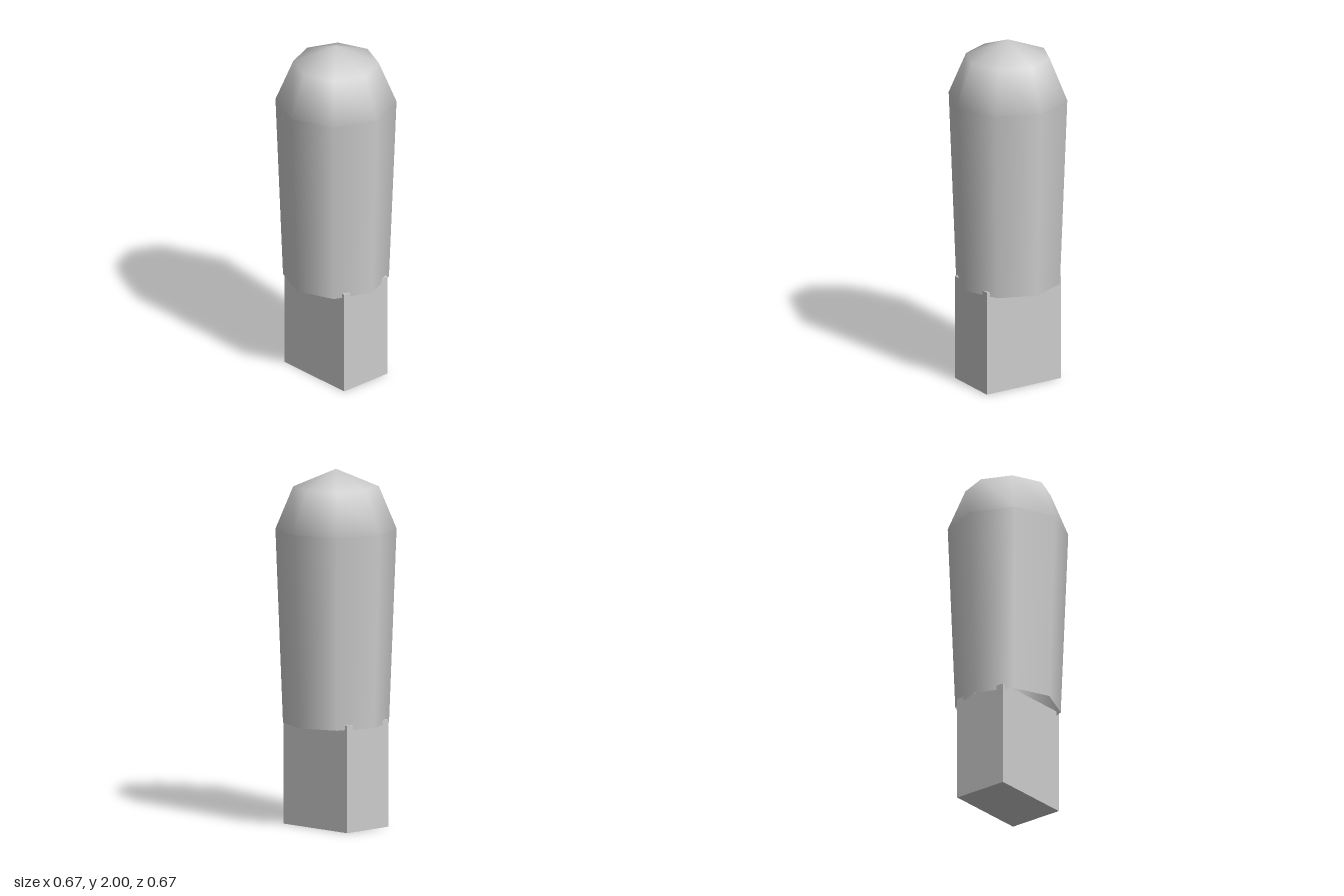
import * as THREE from 'three';

export function createModel() {
  const model = new THREE.Group();
  const grey = new THREE.MeshStandardMaterial({ color: 0xcccccc, side: THREE.DoubleSide });
  grey.name = 'grey';

  const SIDES = 8, TOP_RADIUS = 0.336, BOTTOM_RADIUS = 0.294;
  const BODY_BOTTOM = 0.576, BODY_TOP = 1.664;

  function addPart(name, geometry, y) {
    const mesh = new THREE.Mesh(geometry, grey);
    mesh.name = name;
    mesh.position.y = y;
    model.add(mesh);
  }

  // rectangular plug, its top just inside the open shell
  addPart('plug', new THREE.BoxGeometry(0.492, 0.602, 0.326), 0.301);

  // eight-sided tapered shell, open at the bottom
  addPart('body', new THREE.CylinderGeometry(TOP_RADIUS, BOTTOM_RADIUS, BODY_TOP - BODY_BOTTOM,
    SIDES, 1, true), (BODY_TOP + BODY_BOTTOM) / 2);

  // half-sphere dome with one ring between rim and tip
  addPart('dome', new THREE.SphereGeometry(TOP_RADIUS, SIDES, 2, 0, Math.PI * 2, 0, Math.PI / 2), BODY_TOP);

  return model;
}
